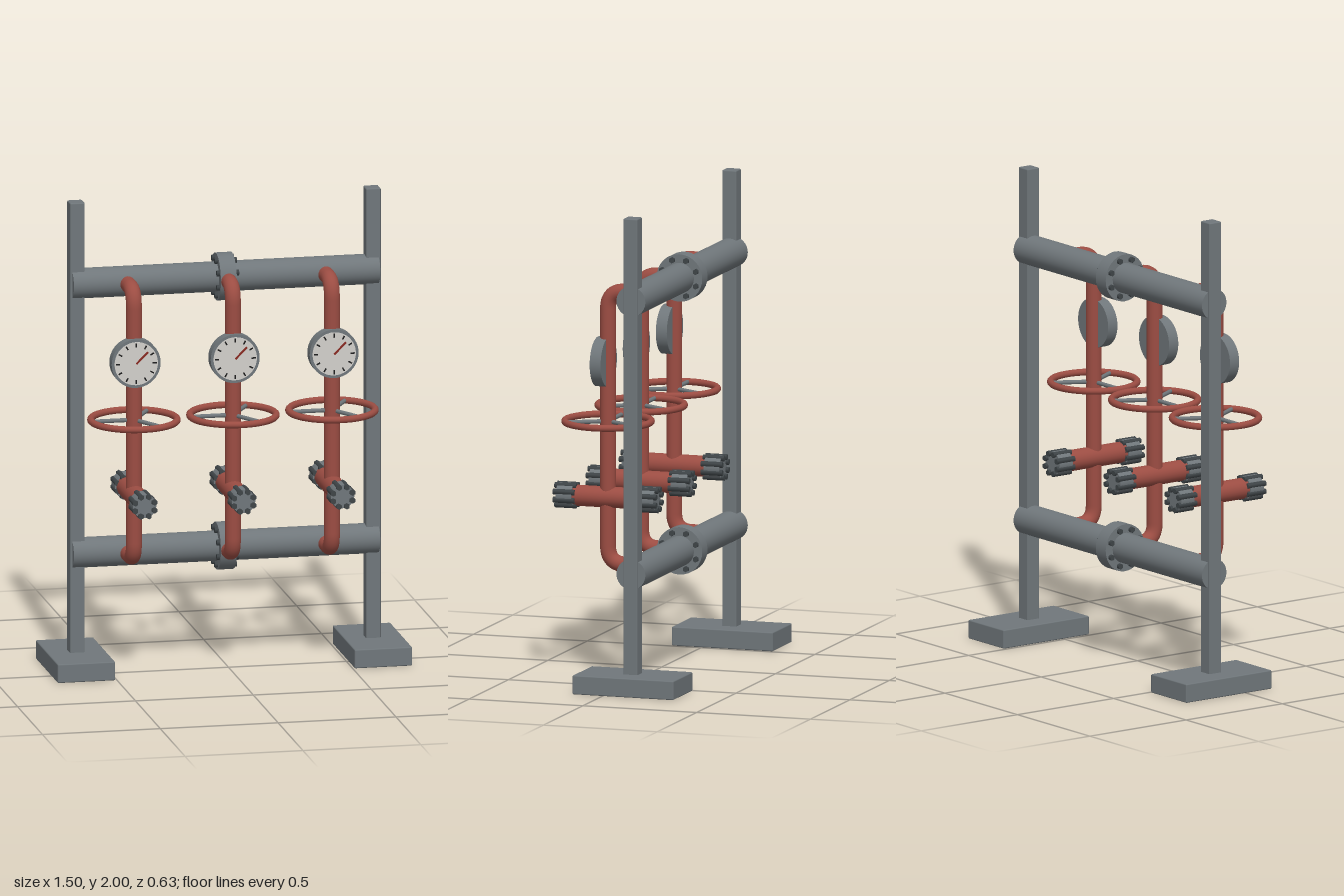
import * as THREE from 'three';
import { RoundedBoxGeometry } from 'three/addons/geometries/RoundedBoxGeometry.js';

const mat = (name, color) => new THREE.MeshStandardMaterial({ name, color });
const PIPE_Z = -0.09, BRANCH_Z = 0.09, TOP_Y = 1.65, LOW_Y = 0.5;

export function createModel() {
  const steel = mat('steel', 0x70777b);
  const red = mat('paintedRed', 0x9c4d43);
  const dark = mat('darkBolt', 0x3f4548);
  const black = mat('tickBlack', 0x1c1c1c);
  const white = mat('dialWhite', 0xd2d0cc);
  const needleRed = mat('needleRed', 0x8a2a22);
  const model = new THREE.Group();
  model.name = 'pipeManifold';

  const add = (parent, name, geometry, material, x = 0, y = 0, z = 0) => {
    const mesh = new THREE.Mesh(geometry, material);
    mesh.name = name;
    mesh.position.set(x, y, z);
    parent.add(mesh);
    return mesh;
  };
  const group = (parent, name, x, y, z) => {
    const g = new THREE.Group();
    g.name = name;
    g.position.set(x, y, z);
    parent.add(g);
    return g;
  };
  // cylinder lying along z
  const rodZ = (r, length, sides = 32) => new THREE.CylinderGeometry(r, r, length, sides).rotateX(Math.PI / 2);

  // bolted flange with its axis along z
  const flange = (parent, name, x, y, z, radius, boltCircle) => {
    const g = group(parent, name, x, y, z);
    add(g, 'flangeDisc', rodZ(radius, 0.068), steel);
    for (let i = 0; i < 8; i++) {
      const a = (i + 0.5) * Math.PI / 4;
      add(g, 'bolt', rodZ(0.0125, 0.094, 6), dark, boltCircle * Math.cos(a), boltCircle * Math.sin(a));
    }
    return g;
  };

  // posts and feet
  for (const s of [-1, 1]) {
    add(model, 'post', new RoundedBoxGeometry(0.063, 1.96, 0.063, 1, 0.005), steel, s * 0.628, 1.02, PIPE_Z);
    add(model, 'foot', new RoundedBoxGeometry(0.245, 0.08, 0.445, 1, 0.005), steel, s * 0.63, 0.04, PIPE_Z);
  }

  // main horizontal pipes with a central flange
  for (const y of [TOP_Y, LOW_Y]) {
    add(model, 'mainPipe', rodZ(0.0635, 1.3, 40).rotateY(Math.PI / 2), steel, 0, y, PIPE_Z);
    flange(model, 'mainFlange', 0, y, PIPE_Z, 0.1, 0.08).rotation.y = Math.PI / 2;
  }

  // branch path: out of the top pipe, down, and back into the lower pipe
  const v = (y, z) => new THREE.Vector3(0, y, z);
  const path = new THREE.CurvePath();
  const b = 0.075;
  path.add(new THREE.LineCurve3(v(TOP_Y, PIPE_Z), v(TOP_Y, BRANCH_Z - b)));
  path.add(new THREE.QuadraticBezierCurve3(v(TOP_Y, BRANCH_Z - b), v(TOP_Y, BRANCH_Z), v(TOP_Y - b, BRANCH_Z)));
  path.add(new THREE.LineCurve3(v(TOP_Y - b, BRANCH_Z), v(LOW_Y + b, BRANCH_Z)));
  path.add(new THREE.QuadraticBezierCurve3(v(LOW_Y + b, BRANCH_Z), v(LOW_Y, BRANCH_Z), v(LOW_Y, BRANCH_Z - b)));
  path.add(new THREE.LineCurve3(v(LOW_Y, BRANCH_Z - b), v(LOW_Y, PIPE_Z)));
  const branchGeometry = new THREE.TubeGeometry(path, 140, 0.033, 20);

  for (const x of [-0.42, 0, 0.42]) {
    const branch = group(model, 'branch', x, 0, 0);
    add(branch, 'branchPipe', branchGeometry, red);

    // pressure gauge
    const gauge = group(branch, 'gauge', 0, 1.35, 0.111);
    add(gauge, 'gaugeBody', rodZ(0.104, 0.048, 40), steel);
    add(gauge, 'gaugeFace', rodZ(0.092, 0.004, 40), white, 0, 0, 0.024);
    for (let i = 0; i < 12; i++) {
      const a = i * Math.PI / 6;
      const tick = add(gauge, 'tick', new THREE.BoxGeometry(0.017, 0.006, 0.004), black,
        0.078 * Math.cos(a), 0.078 * Math.sin(a), 0.026);
      tick.rotation.z = a;
    }
    const needle = add(gauge, 'needle', new THREE.BoxGeometry(0.07, 0.007, 0.006), needleRed, 0.024, 0.024, 0.031);
    needle.rotation.z = Math.PI / 4;

    // handwheel with three spokes
    const wheel = group(branch, 'handwheel', 0, 1.1, BRANCH_Z);
    add(wheel, 'wheelRim', new THREE.TorusGeometry(0.18, 0.0145, 12, 48).rotateX(Math.PI / 2), red);
    for (let i = 0; i < 3; i++) {
      const spoke = add(wheel, 'spoke', rodZ(0.009, 0.18, 10).rotateY(Math.PI / 2).translate(-0.09, 0, 0), steel);
      spoke.rotation.y = i * Math.PI * 2 / 3;
    }

    // cross pipe with a flange at each end
    add(branch, 'crossPipe', rodZ(0.044, 0.36, 24), red, 0, 0.78, BRANCH_Z);
    for (const s of [-1, 1]) flange(branch, 'crossFlange', 0, 0.78, BRANCH_Z + s * 0.18, 0.05, 0.044);
  }
  return model;
}
